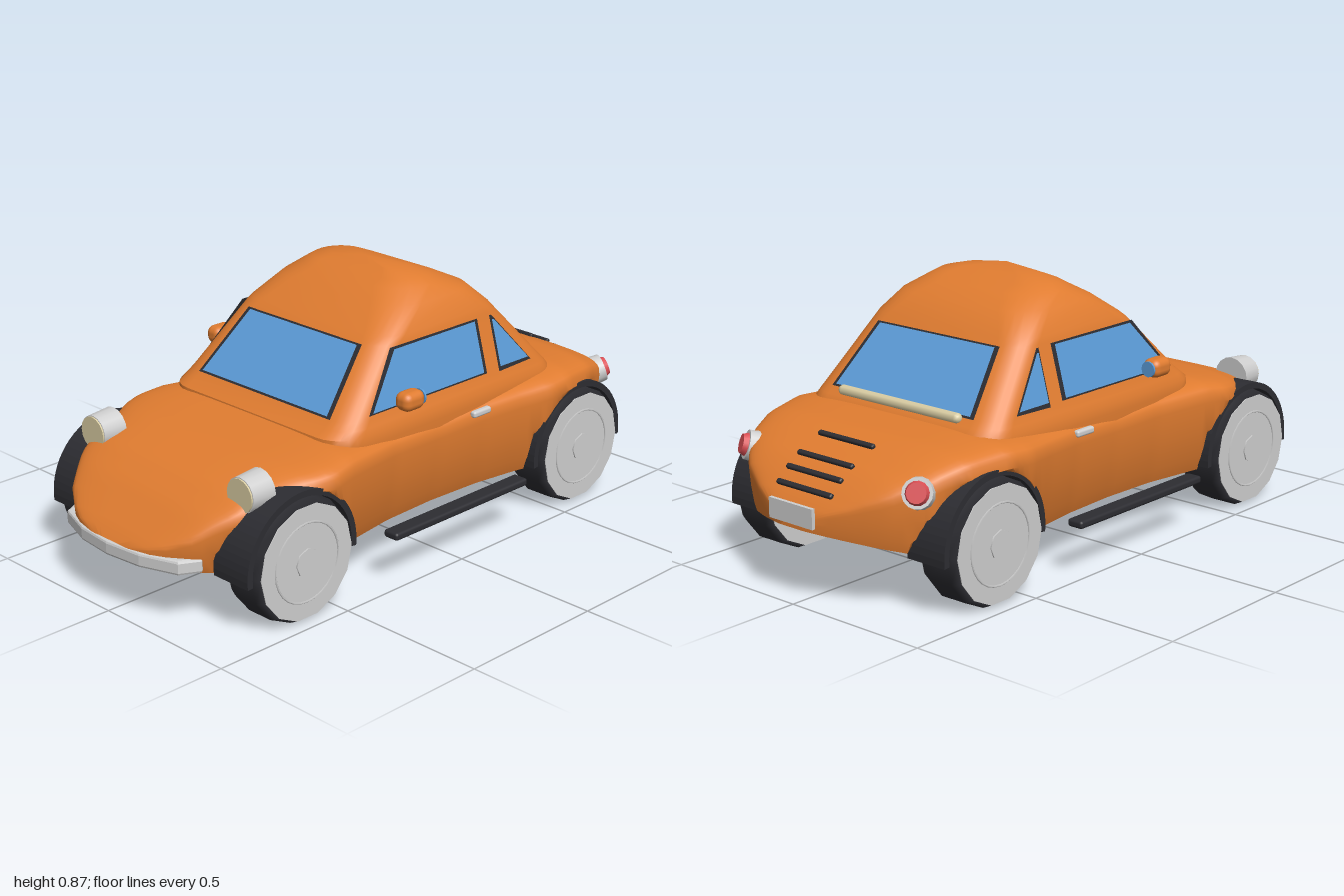
import * as THREE from 'three';
import { toCreasedNormals } from 'three/addons/utils/BufferGeometryUtils.js';
import { RoundedBoxGeometry } from 'three/addons/geometries/RoundedBoxGeometry.js';

const mat = (name, color, side = THREE.FrontSide) => {
  const m = new THREE.MeshStandardMaterial({ color, side });
  m.name = name;
  return m;
};

// Linear lookup in a list of [z, value] pairs
function lookup(table, z) {
  for (let i = 1; i < table.length; i++) {
    const [z0, a] = table[i - 1], [z1, b] = table[i];
    if (z <= z1) return a + (b - a) * Math.max(0, (z - z0) / (z1 - z0));
  }
  return table[table.length - 1][1];
}

// Skin over closed rings of equal length, with fan caps at both ends
function loft(rings, crease) {
  const n = rings[0].length, pos = rings.flat(2), idx = [];
  for (let i = 0; i < rings.length - 1; i++) {
    for (let j = 0; j < n; j++) {
      const k = (j + 1) % n, a = i * n + j, b = i * n + k;
      idx.push(a, b, b + n, a, b + n, a + n);
    }
  }
  const last = (rings.length - 1) * n;
  for (let j = 1; j < n - 1; j++) idx.push(0, j + 1, j, last, last + j, last + j + 1);
  const g = new THREE.BufferGeometry();
  g.setAttribute('position', new THREE.Float32BufferAttribute(pos, 3));
  g.setIndex(idx);
  return toCreasedNormals(g, crease);
}

// Body outlines along z: half width, top and bottom heights
const WIDTH = [[-1, .04], [-.985, .1], [-.95, .19], [-.9, .29], [-.8, .385], [-.7, .425], [-.55, .46], [-.47, .462],
  [-.35, .435], [-.2, .412], [0, .402], [.2, .41], [.35, .435], [.5, .46], [.56, .445], [.65, .395], [.8, .357],
  [.9, .28], [.96, .19], [.985, .1], [.995, .03]];
const TOP = [[-1, .27], [-.985, .3], [-.915, .37], [-.866, .408], [-.78, .45], [-.7, .477], [-.56, .492], [-.4, .48],
  [0, .46], [.42, .477], [.6, .452], [.76, .408], [.85, .355], [.97, .255], [.995, .225]];
const BOTTOM = [[-1, .245], [-.81, .187], [-.4, .165], [.5, .165], [.85, .18], [.995, .2]];
const AXLES = [.63, -.615], ARCH = .21;

function bodyRing(z) {
  const W = lookup(WIDTH, z), T = lookup(TOP, z), B = lookup(BOTTOM, z);
  const mid = B + (T - B) * .75;
  let arch = 0;
  for (const a of AXLES) {
    const d = Math.abs(z - a);
    if (d < ARCH) arch = .2 + Math.sqrt(ARCH * ARCH - d * d);
  }
  const inner = Math.min(.3, .8 * W), half = [];
  for (let i = 0; i <= 10; i++) {
    const t = i / 10 * Math.PI / 2;
    half.push([W * Math.sin(t) ** .5, mid + (T - mid) * Math.cos(t) ** .5]);
  }
  half[10][1] = mid;
  half.push([.98 * W, B + (mid - B) * .6], [.94 * W, B + (mid - B) * .2], [.9 * W, B], [inner, B]);
  // Lift the outer skin over the wheels
  for (const p of half) if (p[0] >= .299) p[1] = Math.max(p[1], arch);
  half.push([inner, B], [0, B]);
  const leftSide = half.slice(1, -1).reverse();
  return [...half.map(([x, y]) => [-x, y, z]), ...leftSide.map(([x, y]) => [x, y, z])];
}

// Cabin levels: y, front z, rear z, half width, corner radius
const CABIN = [[.40, .43, -.59, .395, .13], [.45, .43, -.59, .396, .11], [.48, .425, -.58, .392, .1], [.5, .395, -.56, .384, .09],
  [.52, .37, -.54, .377, .085], [.705, .19, -.375, .325, .085], [.725, .165, -.36, .32, .09], [.79, .08, -.3, .285, .11],
  [.825, .025, -.23, .25, .12], [.843, -.01, -.185, .22, .085], [.86, -.045, -.14, .15, .045], [.877, -.064, -.066, .002, .001]];

function cabinRing([y, zf, zr, w, r]) {
  const ring = [];
  const corners = [[w - r, zr + r], [-w + r, zr + r], [-w + r, zf - r], [w - r, zf - r]];
  corners.forEach(([cx, cz], q) => {
    for (let i = 0; i <= 6; i++) {
      const t = (q + i / 6) * Math.PI / 2;
      ring.push([cx + r * Math.cos(t), y, cz - r * Math.sin(t)]);
    }
  });
  return ring;
}

// Flat polygon lifted off the cabin wall and grown by a margin
function panel(points, lift, grow) {
  const p = points.map(a => new THREE.Vector3(...a));
  const c = p.reduce((s, v) => s.add(v), new THREE.Vector3()).divideScalar(p.length);
  const n = p[1].clone().sub(p[0]).cross(p[2].clone().sub(p[0])).normalize();
  if (n.dot(c.clone().sub(new THREE.Vector3(0, .6, -.07))) < 0) {
    n.negate();
    p.reverse();
  }
  const out = p.map(v => v.clone().addScaledVector(v.clone().sub(c).normalize(), grow).addScaledVector(n, lift));
  const g = new THREE.BufferGeometry().setFromPoints(out);
  g.setIndex(p.length === 4 ? [0, 1, 2, 0, 2, 3] : [0, 1, 2]);
  g.computeVertexNormals();
  return g;
}

export function createModel() {
  const car = new THREE.Group();
  const orange = mat('orange paint', 0xe07c30), glass = mat('blue glass', 0x5c9cd8, THREE.DoubleSide);
  const black = mat('black rubber', 0x2d2d32, THREE.DoubleSide), silver = mat('silver', 0xcfcfcf);
  const cream = mat('cream', 0xdccfa5), red = mat('red lamp', 0xdc5055);
  const add = (name, geo, m, x = 0, y = 0, z = 0, parent = car) => {
    const mesh = new THREE.Mesh(geo, m);
    mesh.name = name;
    mesh.position.set(x, y, z);
    parent.add(mesh);
    return mesh;
  };

  // Body shell and cabin
  const rings = [];
  for (let i = 0; i <= 90; i++) rings.push(bodyRing(-.995 + 1.985 * i / 90));
  add('body', loft(rings, .7), orange);
  add('cabin', loft(CABIN.map(cabinRing), .8), orange);

  // Windows with dark frames
  const windowPane = (name, pts) => {
    add(name + 'Frame', panel(pts, .003, .014), black);
    add(name, panel(pts, .006, -.002), glass);
  };
  const wallX = y => .377 - (y - .52) * (.052 / .185);
  const frontZ = y => .37 - (y - .52) * (.18 / .185), rearZ = y => -.54 + (y - .52) * (.165 / .185);
  const ends = f => [[-.282, .524, f(.524)], [.282, .524, f(.524)], [.24, .698, f(.698)], [-.24, .698, f(.698)]];
  windowPane('windshield', ends(frontZ));
  windowPane('rearWindow', ends(rearZ));

  // Wheel profile and arch trim shared by all four corners
  const tyre = new THREE.LatheGeometry([[.001, -.07], [.182, -.072], [.195, -.045], [.195, .045], [.182, .072], [.001, .07]]
    .map(p => new THREE.Vector2(...p)), 14).rotateZ(-Math.PI / 2);
  const disc = (r, h, n) => new THREE.CylinderGeometry(r, r, h, n).rotateZ(Math.PI / 2);
  const ringShape = new THREE.Shape();
  ringShape.absarc(0, 0, .218, -.1, Math.PI + .1, false);
  ringShape.absarc(0, 0, .198, Math.PI + .1, -.1, true);
  const archGeo = new THREE.ExtrudeGeometry(ringShape, { depth: .145, bevelEnabled: false, curveSegments: 16 })
    .translate(0, 0, -.0725).rotateY(Math.PI / 2);

  for (const s of [1, -1]) {
    const side = s > 0 ? 'left' : 'right';
    const wall = pts => pts.map(([z, y]) => [s * wallX(y), y, z]);
    windowPane(side + 'DoorWindow', wall([[.275, .535], [-.225, .535], [-.225, .695], [.14, .695]]));
    windowPane(side + 'QuarterWindow', wall([[-.3, .535], [-.435, .535], [-.308, .685], [-.3, .685]]));

    AXLES.forEach((z, i) => {
      const wheel = new THREE.Group();
      wheel.name = side + (i ? 'Rear' : 'Front') + 'Wheel';
      wheel.position.set(s * .39, .2, z);
      car.add(wheel);
      add('tyre', tyre, black, 0, 0, 0, wheel);
      add('wheelDisc', disc(.181, .149, 14), silver, 0, 0, 0, wheel);
      add('wheelRim', new THREE.TorusGeometry(.125, .004, 4, 28).rotateY(Math.PI / 2), silver, s * .074, 0, 0, wheel);
      add('hub', disc(.045, .158, 8), silver, 0, 0, 0, wheel);
      add(side + 'WheelArch', archGeo, black, s * .375, .2, z);
    });

    // Headlight
    add(side + 'Headlight', new THREE.CylinderGeometry(.056, .063, .08, 16).rotateX(Math.PI / 2), silver, s * .335, .413, .728);
    add(side + 'HeadlightLens', new THREE.CylinderGeometry(.053, .053, .008, 16).rotateX(Math.PI / 2), cream, s * .335, .413, .769);

    // Tail lamp
    const lamp = new THREE.Group();
    lamp.name = side + 'TailLamp';
    lamp.position.set(s * .345, .38, -.825);
    lamp.quaternion.setFromUnitVectors(new THREE.Vector3(0, 1, 0), new THREE.Vector3(s * .5, .3, -.8).normalize());
    car.add(lamp);
    add('lampRing', new THREE.CylinderGeometry(.046, .05, .05, 14), silver, 0, 0, 0, lamp);
    add('lampLens', new THREE.CylinderGeometry(.03, .037, .018, 14), red, 0, .032, 0, lamp);

    // Door mirror
    add(side + 'MirrorArm', disc(.01, .07, 8), orange, s * .385, .552, .16);
    add(side + 'MirrorShell', new RoundedBoxGeometry(.062, .06, .085, 3, .024), orange, s * .424, .565, .163);
    add(side + 'MirrorGlass', new THREE.CylinderGeometry(.025, .025, .006, 12).rotateX(Math.PI / 2), glass, s * .424, .565, .119);

    // Door handle and running board
    add(side + 'DoorHandle', new RoundedBoxGeometry(.022, .022, .08, 2, .008), silver, s * .41, .428, -.175);
    add(side + 'RunningBoard', new RoundedBoxGeometry(.056, .025, .6, 2, .009), black, s * .478, .181, 0);
  }

  // Front bumper wrapped round the nose
  const curve = [[-.28, .88], [-.25, .935], [-.13, .977], [0, .99], [.13, .977], [.25, .935], [.28, .88]];
  const outline = [...curve, ...curve.map(([x, z]) => [x * .9, z - .035]).reverse()];
  const bumper = new THREE.ExtrudeGeometry(new THREE.Shape(outline.map(([x, z]) => new THREE.Vector2(x, -z))),
    { depth: .03, bevelSize: .008, bevelThickness: .008, bevelSegments: 2 }).rotateX(-Math.PI / 2);
  add('frontBumper', bumper, silver, 0, .198, 0);

  // Rear spoiler, engine vents and blank plate
  add('rearSpoiler', new THREE.CapsuleGeometry(.017, .47, 4, 8).rotateZ(Math.PI / 2), cream, 0, .519, -.55);
  for (const z of [-.94, -.9, -.855, -.77]) {
    const slope = (lookup(TOP, z + .02) - lookup(TOP, z - .02)) / .04;
    add('engineVent', new RoundedBoxGeometry(.23, .018, .017, 2, .006), black, 0, lookup(TOP, z) + .002, z).rotation.x = -Math.atan(slope);
  }
  add('rearPlate', new THREE.BoxGeometry(.18, .062, .012), silver, 0, .288, -.994);
  return car;
}
